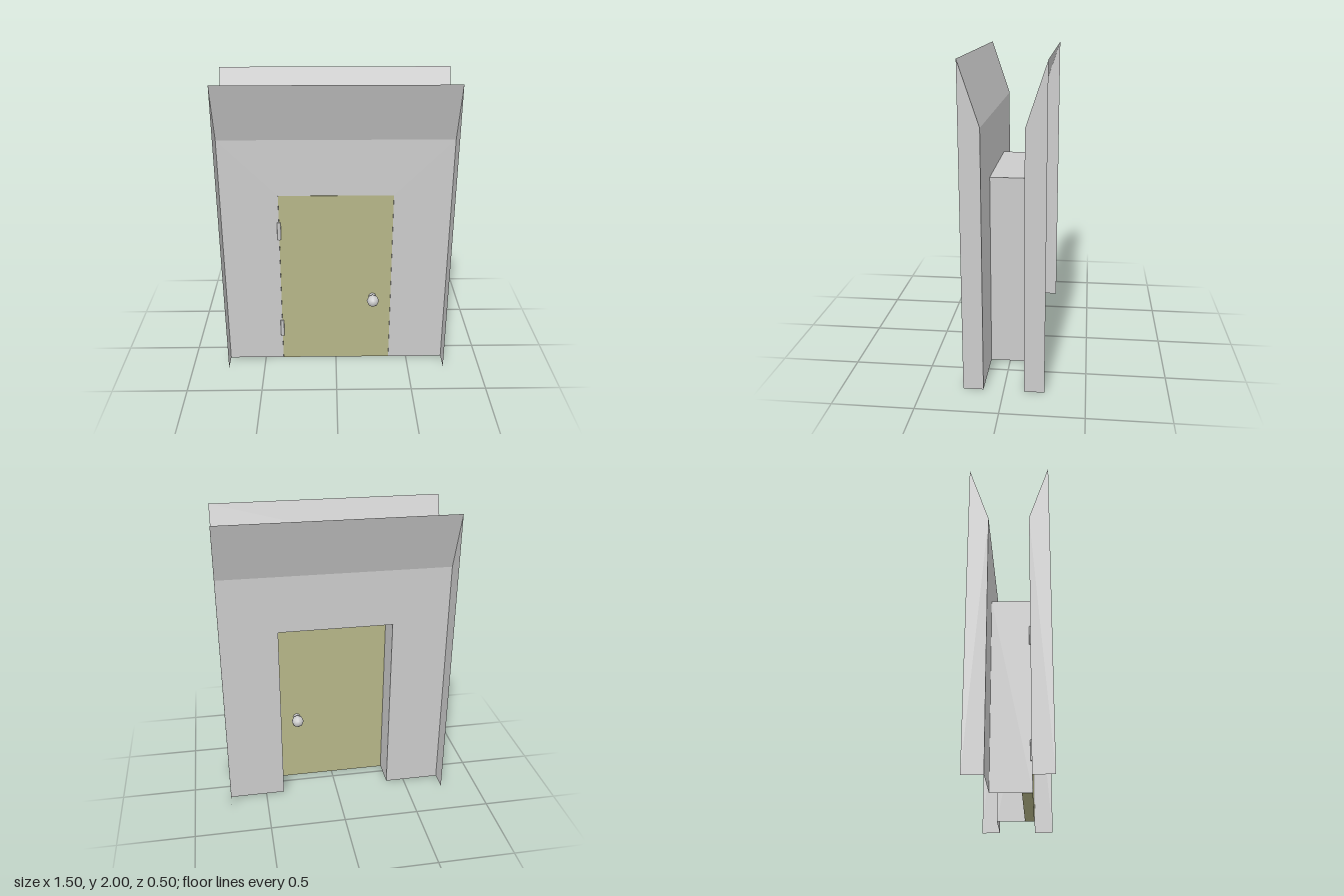
import * as THREE from 'three';

const W = 0.75, OPEN = 0.375, HEAD = 1.25, KNEE = 1.625, TOP = 2, IN = 0.125, OUT = 0.25;

const sheetMat = new THREE.MeshStandardMaterial({ color: 0xcccccc, side: THREE.DoubleSide });
const greyMat = new THREE.MeshStandardMaterial({ color: 0xcccccc });
const doorMat = new THREE.MeshStandardMaterial({ color: 0xb6b688 });

function add(parent, name, geometry, material = sheetMat) {
  const mesh = new THREE.Mesh(geometry, material);
  mesh.name = name;
  parent.add(mesh);
  return mesh;
}

const shape = (points) => new THREE.ShapeGeometry(
  new THREE.Shape(points.map(([x, y]) => new THREE.Vector2(x, y))));

// One thin wall with a door opening, side returns and a top flared outwards
function wall(name) {
  const g = new THREE.Group();
  g.name = name;
  add(g, 'wallPanel', shape([
    [-W, 0], [-OPEN, 0], [-OPEN, HEAD], [OPEN, HEAD], [OPEN, 0], [W, 0], [W, KNEE], [-W, KNEE],
  ])).position.z = IN;

  const rise = TOP - KNEE, run = OUT - IN;
  const flare = add(g, 'flaredTop', new THREE.PlaneGeometry(2 * W, Math.hypot(rise, run)));
  flare.position.set(0, (KNEE + TOP) / 2, (IN + OUT) / 2);
  flare.rotation.x = Math.atan2(run, rise);

  for (const s of [-1, 1]) {
    // Profile drawn as (-z, y), then turned to face sideways
    const side = add(g, s > 0 ? 'leftReturn' : 'rightReturn',
      shape([[-OUT, 0], [-IN, 0], [-IN, KNEE], [-OUT, TOP]]));
    side.rotation.y = Math.PI / 2;
    side.position.x = s * W;
  }
  return g;
}

export function createModel() {
  const model = new THREE.Group();
  model.name = 'doorway';

  // Front and back walls
  const back = wall('backWall');
  back.rotation.y = Math.PI;
  model.add(wall('frontWall'), back);

  // Passage lining between the walls, open at the floor
  for (const s of [-1, 1]) {
    const jamb = add(model, s > 0 ? 'leftJamb' : 'rightJamb', new THREE.PlaneGeometry(2 * IN, HEAD));
    jamb.rotation.y = -s * Math.PI / 2;
    jamb.position.set(s * OPEN, HEAD / 2, 0);
  }
  const lintel = add(model, 'lintel', new THREE.PlaneGeometry(2 * OPEN, 2 * IN));
  lintel.rotation.x = -Math.PI / 2;
  lintel.position.y = HEAD;

  // Door leaf, flush with the front wall
  const depth = 0.0625;
  add(model, 'door', new THREE.BoxGeometry(2 * OPEN - 0.002, HEAD - 0.001, depth), doorMat)
    .position.set(0, (HEAD - 0.001) / 2, IN - depth / 2);

  // Hinges
  for (const y of [0.25, 1]) {
    add(model, 'hinge', new THREE.CylinderGeometry(0.0125, 0.0125, 0.125, 8), greyMat)
      .position.set(-OPEN, y, IN);
  }

  // Knob with a small neck ball on each face of the door
  for (const [face, dir] of [[IN, 1], [IN - depth, -1]]) {
    for (const [name, r, off] of [['knobNeck', 0.025, 0], ['knob', 0.0417, 0.0625]]) {
      const ball = add(model, name, new THREE.SphereGeometry(r, 8, 6), greyMat);
      ball.rotation.x = Math.PI / 2;
      ball.position.set(0.25, 0.5, face + dir * off);
    }
  }
  return model;
}
